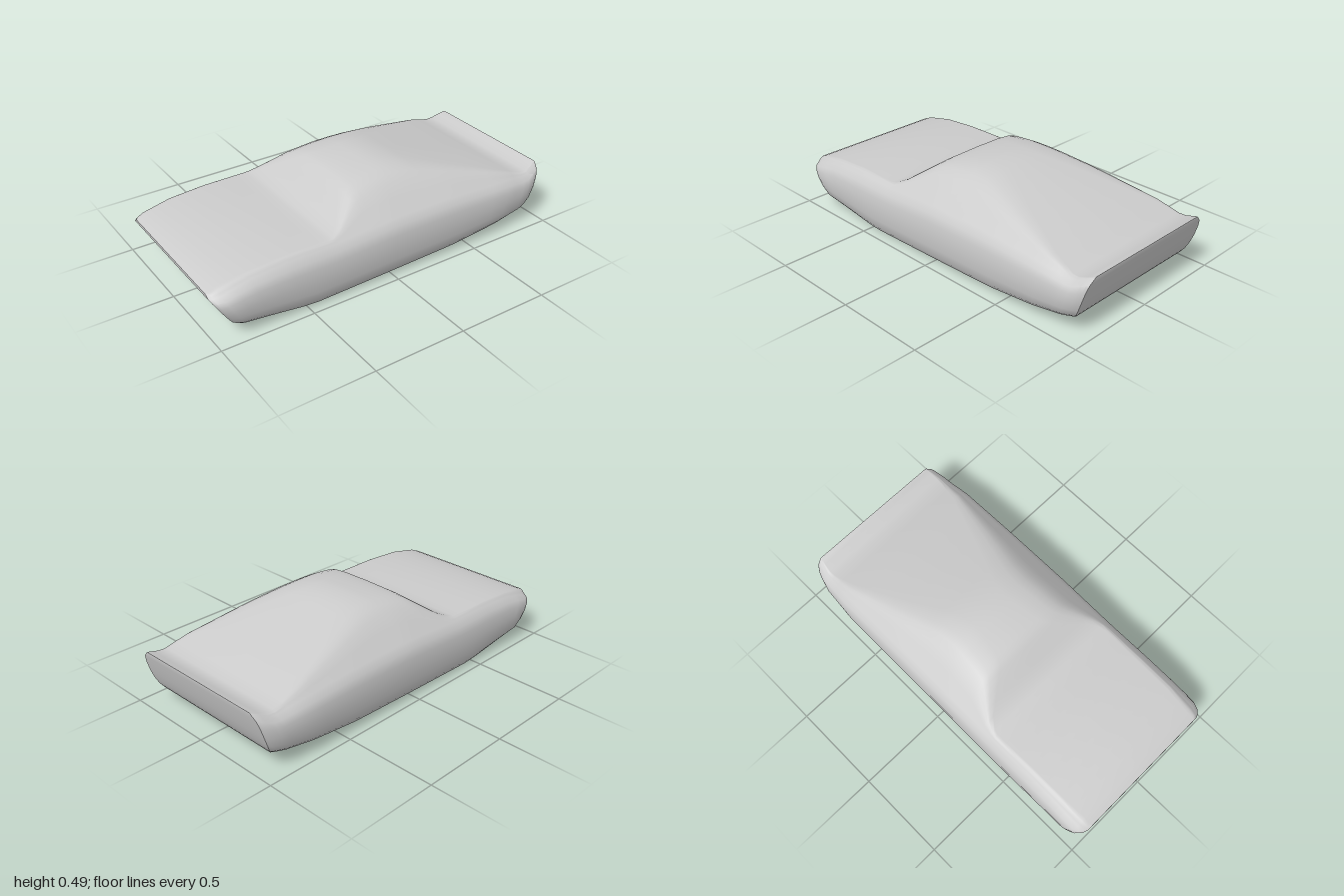
import * as THREE from 'three';
import { toCreasedNormals } from 'three/addons/utils/BufferGeometryUtils.js';

// Piecewise profiles along the length: [x, value]
const TOP = [[-1, 0.245], [-0.95, 0.268], [-0.8, 0.297], [-0.6, 0.311], [-0.34, 0.311], [-0.28, 0.34],
  [-0.2, 0.405], [-0.14, 0.455], [-0.08, 0.474], [0.02, 0.487], [0.1, 0.493], [0.2, 0.484],
  [0.35, 0.446], [0.55, 0.391], [0.75, 0.335], [0.88, 0.295], [0.92, 0.296], [1, 0.325]];
const BELT = [[-1, 0.228], [-0.8, 0.275], [-0.6, 0.29], [-0.34, 0.292], [0, 0.315], [0.4, 0.315],
  [0.75, 0.297], [0.88, 0.28], [0.92, 0.284], [1, 0.318]];
const BOTTOM = [[-0.88, 0.055], [-0.7, 0.032], [-0.52, 0.006], [-0.45, 0], [0, 0.01], [0.4, 0.022],
  [0.65, 0.048], [0.905, 0.08]];
const WIDTH = [[-1, 0.94], [-0.985, 0.975], [-0.95, 1], [0.75, 1], [0.92, 0.97], [0.98, 0.935], [1, 0.91]];
const STATIONS = [-1, -0.985, -0.95, -0.88, -0.8, -0.7, -0.6, -0.5, -0.42, -0.36, -0.33, -0.28, -0.24, -0.2, -0.16,
  -0.13, -0.1, -0.06, 0, 0.05, 0.1, 0.15, 0.2, 0.27, 0.35, 0.45, 0.55, 0.65, 0.75, 0.82, 0.88, 0.92, 0.96, 0.985, 1];

// Lower body half-section: [z, height fraction from floor to belt]
const SIDE = [[0, 0], [0.42, 0], [0.442, 0.03], [0.46, 0.12], [0.471, 0.3], [0.475, 0.52],
  [0.471, 0.75], [0.458, 0.9], [0.43, 1]];
// Cabin half-section: [inset per unit of cabin height, height fraction from belt to roof]
const ROOF = [[0.42, 0.39], [0.72, 0.69], [1, 0.84], [1.28, 0.93], [1.8, 0.985]];

function sample(table, x) {
  let i = 1;
  while (i < table.length - 1 && x > table[i][0]) i++;
  const [a, b] = [table[i - 1], table[i]];
  return THREE.MathUtils.lerp(a[1], b[1], THREE.MathUtils.clamp((x - a[0]) / (b[0] - a[0]), 0, 1));
}

// Half-section from floor centre to roof centre; the ends rake inward toward the floor
function halfSection(station) {
  const w = sample(WIDTH, station);
  const lower = SIDE.map(([z, f]) => {
    const left = -0.88 - 0.12 * f ** 0.8, right = 0.905 + 0.095 * f ** 0.7;
    const x = THREE.MathUtils.lerp(left, right, (station + 1) / 2);
    return [x, THREE.MathUtils.lerp(sample(BOTTOM, x), sample(BELT, x), f), z * w];
  });
  const belt = sample(BELT, station), h = sample(TOP, station) - belt;
  const upper = ROOF.map(([d, f]) => [station, belt + h * f, 0.43 * w - d * h]);
  return [...lower, ...upper, [station, belt + h, 0]];
}

function panel(name, triangles, crease) {
  const geometry = new THREE.BufferGeometry();
  geometry.setAttribute('position', new THREE.Float32BufferAttribute(triangles.flat(), 3));
  const mesh = new THREE.Mesh(toCreasedNormals(geometry, crease),
    new THREE.MeshStandardMaterial({ color: 0xcccccc }));
  mesh.name = name;
  return mesh;
}

const mirror = ([x, y, z]) => [x, y, -z];

// End panel: horizontal strips between the two sides of a section
function endPanel(name, half, facing) {
  const tris = [];
  for (let j = 1; j < half.length - 1; j++) {
    const p = half[j], q = half[j + 1], m = mirror(p), n = mirror(q);
    if (facing > 0) tris.push(m, n, p, n, q, p);
    else tris.push(m, p, n, n, p, q);
  }
  return panel(name, tris, 0.5);
}

export function createModel() {
  const group = new THREE.Group();
  group.name = 'carBody';
  const halves = STATIONS.map(halfSection);
  const rings = halves.map((h) => [...h, ...h.slice(1, -1).reverse().map(mirror)]);

  // Shell lofted through all sections
  const tris = [];
  for (let i = 0; i < rings.length - 1; i++) {
    const a = rings[i], b = rings[i + 1];
    for (let j = 0; j < a.length; j++) {
      const k = (j + 1) % a.length;
      tris.push(a[j], b[j], a[k], b[j], b[k], a[k]);
    }
  }
  group.add(panel('bodyShell', tris, 0.75));
  group.add(endPanel('nosePanel', halves[0], -1));
  group.add(endPanel('tailPanel', halves[halves.length - 1], 1));
  return group;
}
